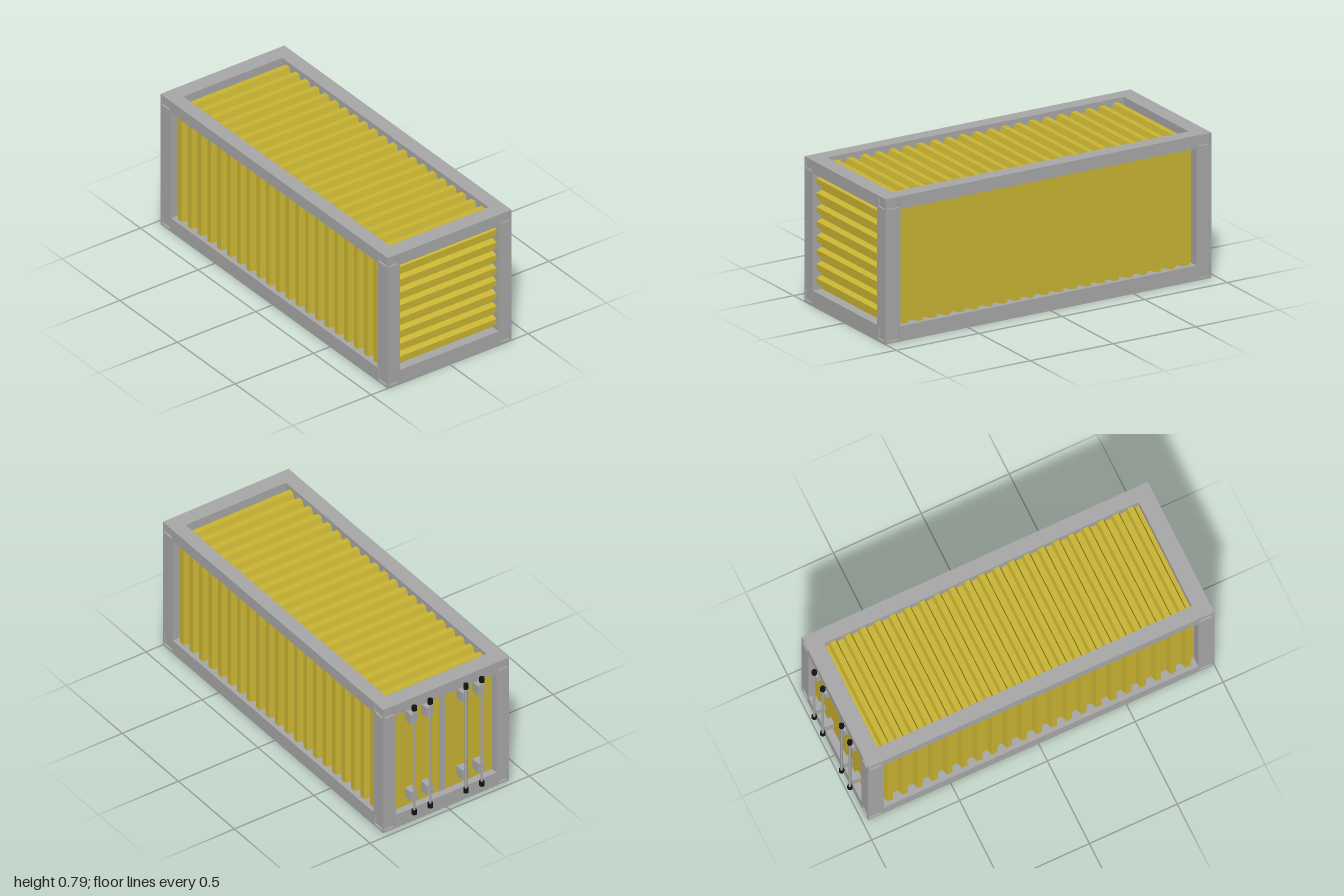
import * as THREE from 'three';

const grey = new THREE.MeshStandardMaterial({ color: 0xa8a8a8, name: 'frame grey' });
const yellow = new THREE.MeshStandardMaterial({ color: 0xc9b433, name: 'panel yellow' });
const black = new THREE.MeshStandardMaterial({ color: 0x111111, name: 'clamp black' });

// Outer limits of the frame and of the openings in it
const X0 = -0.97, X1 = 1, H = 0.79, Z = 0.395;
const OX0 = -0.88, OX1 = 0.91, OY0 = 0.083, OY1 = 0.721, OZ = 0.315;
const SKIN = 0.01;

export function createModel() {
  const root = new THREE.Group();
  root.name = 'shippingContainer';

  const add = (name, geometry, material, parent = root) => {
    const mesh = new THREE.Mesh(geometry, material);
    mesh.name = name;
    parent.add(mesh);
    return mesh;
  };
  // Box given by its limits on each axis
  const box = (name, x0, x1, y0, y1, z0, z1, material, parent) => {
    const mesh = add(name, new THREE.BoxGeometry(x1 - x0, y1 - y0, z1 - z0), material, parent);
    mesh.position.set((x0 + x1) / 2, (y0 + y1) / 2, (z0 + z1) / 2);
  };
  const rect = (path, x0, x1, y0, y1) => {
    path.moveTo(x0, y0).lineTo(x1, y0).lineTo(x1, y1).lineTo(x0, y1).closePath();
    return path;
  };

  // Frame beams
  const frame = new THREE.Group();
  frame.name = 'frame';
  root.add(frame);
  const cx0 = X0 + SKIN, cx1 = X1 - SKIN, cz = Z - SKIN;
  for (const [z0, z1] of [[-cz, -OZ], [OZ, cz]]) {
    box('bottomRail', cx0, cx1, 0, OY0, z0, z1, grey, frame);
    box('topRail', cx0, cx1, OY1, H, z0, z1, grey, frame);
    box('cornerPost', cx0, OX0, OY0, OY1, z0, z1, grey, frame);
    box('cornerPost', OX1, cx1, OY0, OY1, z0, z1, grey, frame);
  }
  for (const [x0, x1] of [[cx0, OX0], [OX1, cx1]]) {
    box('endSill', x0, x1, 0, OY0, -OZ, OZ, grey, frame);
    box('endHeader', x0, x1, OY1, H, -OZ, OZ, grey, frame);
  }

  // Frame face with the panel opening and four shallow corner pockets
  const faceGeometry = (a0, a1, o0, o1, pockets) => {
    const shape = rect(new THREE.Shape(), a0, a1, 0, H);
    shape.holes.push(rect(new THREE.Path(), o0, o1, OY0, OY1));
    for (const [p0, p1] of pockets) {
      for (const [y0, y1] of [[0.012, 0.072], [0.73, 0.78]]) {
        shape.holes.push(rect(new THREE.Path(), p0, p1, y0, y1));
      }
    }
    return new THREE.ExtrudeGeometry(shape, { depth: SKIN, bevelEnabled: false });
  };
  const sideFace = faceGeometry(X0, X1, OX0, OX1, [[X0 + 0.009, -0.89], [0.916, X1 - 0.009]]);
  add('frontFace', sideFace, grey, frame).position.z = cz;
  add('backFace', sideFace, grey, frame).position.z = -Z;
  const endFace = faceGeometry(-cz, cz, -OZ, OZ, [[-0.384, -0.327], [0.327, 0.384]]);
  for (const [name, x] of [['rightFace', cx1], ['doorFace', X0]]) {
    const face = add(name, endFace, grey, frame);
    face.rotation.y = Math.PI / 2;
    face.position.x = x;
  }

  // Corrugated panel: profile runs along u, bulges along w, extruded along u x w
  const corrugated = (name, u0, u1, ridges, length, u, w, position) => {
    const edge = 0.022, slope = 0.0105, flat = 0.031, depth = 0.032;
    const pitch = (u1 - u0 - 2 * edge - flat - 2 * slope) / (ridges - 1);
    const shape = new THREE.Shape().moveTo(u0, -0.01).lineTo(u1, -0.01).lineTo(u1, 0);
    for (let i = ridges - 1; i >= 0; i--) {
      const s = u0 + edge + i * pitch;
      shape.lineTo(s + flat + 2 * slope, 0).lineTo(s + flat + slope, depth);
      shape.lineTo(s + slope, depth).lineTo(s, 0);
    }
    shape.lineTo(u0, 0).closePath();
    const g = new THREE.ExtrudeGeometry(shape, { depth: length, bevelEnabled: false });
    g.translate(0, 0, -length / 2);
    const v = new THREE.Vector3().crossVectors(u, w);
    g.applyMatrix4(new THREE.Matrix4().makeBasis(u, w, v));
    add(name, g, yellow).position.copy(position);
  };
  const V = (x, y, z) => new THREE.Vector3(x, y, z);
  const midY = (OY0 + OY1) / 2, tall = OY1 - OY0, inset = 0.055;
  corrugated('frontPanel', OX0, OX1, 21, tall, V(1, 0, 0), V(0, 0, 1), V(0, midY, Z - inset));
  corrugated('backPanel', OX0, OX1, 21, tall, V(1, 0, 0), V(0, 0, -1), V(0, midY, -Z + inset));
  corrugated('roofPanel', OX0, OX1, 21, 2 * OZ, V(1, 0, 0), V(0, 1, 0), V(0, H - inset, 0));
  corrugated('endPanel', OY0, OY1, 8, 2 * OZ, V(0, 1, 0), V(1, 0, 0), V(X1 - inset, 0, 0));

  // Recessed floor
  box('floor', OX0, OX1, 0.03, 0.05, -OZ, OZ, grey);

  // Two door leaves with a seal between them
  box('doorSeal', -0.935, -0.915, OY0, OY1, -0.015, 0.015, grey);
  for (const s of [-1, 1]) {
    const leaf = new THREE.Group();
    leaf.name = s < 0 ? 'backDoor' : 'frontDoor';
    root.add(leaf);
    const z0 = s < 0 ? -OZ : 0.015;
    box('doorPanel', -0.93, -0.91, OY0, OY1, z0, z0 + OZ - 0.015, yellow, leaf);

    // Locking bars with brackets and end clamps
    for (const z of [s * 0.112, s * 0.212]) {
      const bar = add('lockingBar', new THREE.CylinderGeometry(0.007, 0.007, 0.665, 12), grey, leaf);
      bar.position.set(-0.986, 0.4, z);
      for (const y of [0.07, 0.735]) {
        const clamp = add('barClamp', new THREE.CylinderGeometry(0.014, 0.014, 0.027, 16), black, leaf);
        clamp.position.set(-0.986, y, z);
      }
      for (const y of [0.17, 0.665]) {
        box('barBracket', -0.982, -0.93, y - 0.03, y + 0.03, z - 0.02, z + 0.02, grey, leaf);
      }
    }
  }
  return root;
}
